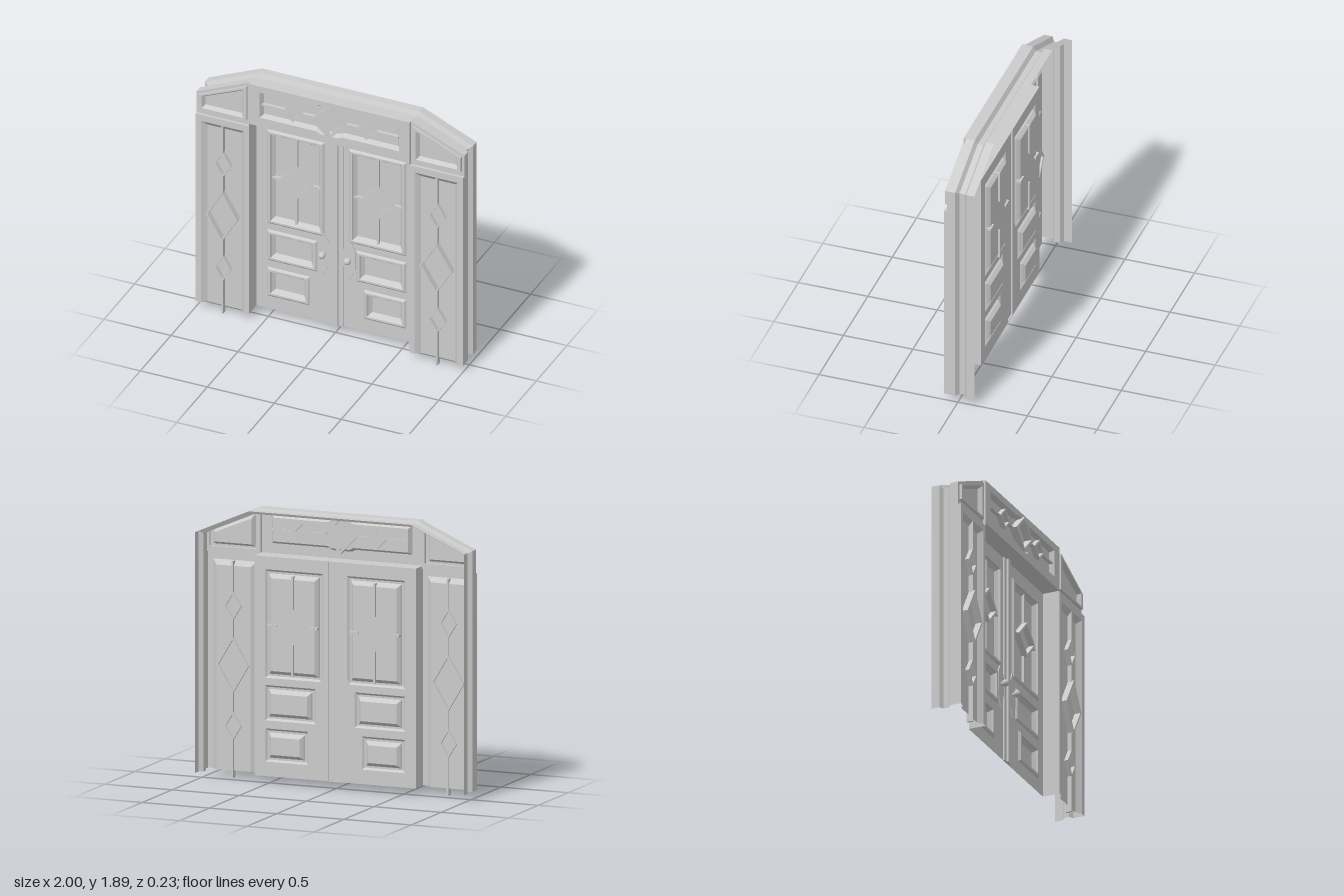
import * as THREE from 'three';

const mat = new THREE.MeshStandardMaterial({ color: 0xcccccc, side: THREE.DoubleSide });
const smooth = new THREE.MeshStandardMaterial({ color: 0xcccccc });

const FRONT = 0.1, RIM = 0.08, DOOR = -0.025, BASE = 0.05, HEAD = 1.57, SIDE_TOP = 1.55;

function add(group, geometry, name, x = 0, y = 0, z = 0, material = mat) {
  const mesh = new THREE.Mesh(geometry, material);
  mesh.name = name;
  mesh.position.set(x, y, z);
  group.add(mesh);
  return mesh;
}

const rect = (x0, y0, x1, y1) => [[x0, y0], [x1, y0], [x1, y1], [x0, y1]];
const toShape = (pts) => new THREE.Shape(pts.map((p) => new THREE.Vector2(...p)));

// Moves a counter-clockwise outline inwards by d with mitred corners.
function inset(pts, d, closed = true) {
  const n = pts.length;
  const normal = (i) => {
    const a = pts[(i + n) % n], b = pts[(i + 1) % n];
    const l = Math.hypot(b[0] - a[0], b[1] - a[1]);
    return [-(b[1] - a[1]) / l, (b[0] - a[0]) / l];
  };
  return pts.map(([x, y], i) => {
    const p = normal(!closed && i === 0 ? 0 : i - 1);
    const q = normal(!closed && i === n - 1 ? n - 2 : i);
    const k = d / (1 + p[0] * q[0] + p[1] * q[1]);
    return [x + (p[0] + q[0]) * k, y + (p[1] + q[1]) * k];
  });
}

// Sweeps a moulding profile of [inset, z] steps round an outline.
function moulding(pts, steps, closed = true) {
  const rings = steps.map(([d, z]) => inset(pts, d, closed).map(([x, y]) => [x, y, z]));
  const pos = [];
  const n = pts.length;
  for (let k = 0; k < rings.length - 1; k++) {
    for (let i = 0; i < (closed ? n : n - 1); i++) {
      const j = (i + 1) % n;
      const a = rings[k][i], b = rings[k][j], c = rings[k + 1][j], d = rings[k + 1][i];
      pos.push(...a, ...b, ...c, ...a, ...c, ...d);
    }
  }
  const g = new THREE.BufferGeometry();
  g.setAttribute('position', new THREE.Float32BufferAttribute(pos, 3));
  g.computeVertexNormals();
  return g;
}

// Flat sheet with openings.
function sheet(pts, holes = []) {
  const s = toShape(pts);
  holes.forEach((h) => s.holes.push(toShape(h)));
  return new THREE.ShapeGeometry(s);
}

// Moulded border plus the panel that closes it.
function panel(group, name, outline, steps, closed = true) {
  add(group, moulding(outline, steps, closed), name + 'Moulding');
  const [d, z] = steps[steps.length - 1];
  add(group, sheet(inset(outline, d, closed)), name, 0, 0, z);
}

function bar(group, x0, y0, x1, y1, z0, z1) {
  add(group, new THREE.BoxGeometry(x1 - x0, y1 - y0, z1 - z0), 'glazingBar',
    (x0 + x1) / 2, (y0 + y1) / 2, (z0 + z1) / 2);
}

function diamond(group, x, y, w, h, z0, z1, t = 0.013) {
  const pts = [[0, -h], [w, 0], [0, h], [-w, 0]];
  const s = toShape(pts);
  s.holes.push(toShape(inset(pts, t)));
  add(group, new THREE.ExtrudeGeometry(s, { depth: z1 - z0, bevelEnabled: false }),
    'diamondTracery', x, y, z0);
}

function makeDoor() {
  const g = new THREE.Group();
  const panels = [rect(0.09, 0.73, 0.52, 1.48), rect(0.145, 0.435, 0.52, 0.68), rect(0.2, 0.15, 0.52, 0.38)];
  add(g, sheet(rect(0.05, BASE, 0.6, HEAD), panels), 'doorLeaf', 0, 0, DOOR);
  panels.forEach((p, i) => panel(g, ['upperPanel', 'middlePanel', 'lowerPanel'][i], p,
    [[0, DOOR], [0.014, DOOR + 0.014], [0.028, DOOR + 0.014], [0.034, DOOR], [0.054, DOOR - 0.022]]));
  // Tracery over the upper panel
  const x = 0.305, y = 1.1, r = 0.13, z0 = -0.06, z1 = -0.026, t = 0.008;
  diamond(g, x, y, r, r, -0.047, -0.005, 0.016);
  bar(g, x - t, y + r - 0.01, x + t, 1.45, z0, z1);
  bar(g, x - t, 0.76, x + t, y - r + 0.01, z0, z1);
  bar(g, 0.118, y - t, x - r + 0.01, y + t, z0, z1);
  bar(g, x + r - 0.01, y - t, 0.492, y + t, z0, z1);
  // Knob on a pointed plate
  const plate = toShape([[0, -0.17], [0.045, -0.07], [0.045, 0.07], [0, 0.17], [-0.045, 0.07], [-0.045, -0.07]]);
  add(g, new THREE.ExtrudeGeometry(plate, { depth: 0.008, bevelEnabled: false }), 'knobPlate', 0.095, 0.6, DOOR);
  const stem = add(g, new THREE.CylinderGeometry(0.01, 0.012, 0.03, 16), 'knobStem', 0.095, 0.6, DOOR + 0.015, smooth);
  stem.rotation.x = Math.PI / 2;
  add(g, new THREE.SphereGeometry(0.025, 20, 14), 'doorKnob', 0.095, 0.6, DOOR + 0.04, smooth);
  return g;
}

function makeSidelight() {
  const g = new THREE.Group();
  // Front face is an arch round a recess that runs down to the floor
  const recess = [[0.96, BASE], [0.96, 1.5], [0.635, 1.5], [0.635, BASE]];
  const outer = [[1, BASE], [1, SIDE_TOP], [0.6, SIDE_TOP], [0.6, BASE]];
  add(g, sheet([...outer, ...[...recess].reverse()]), 'sidelightSurround', 0, 0, FRONT);
  add(g, moulding(outer, [[0, RIM], [0, FRONT]], false), 'sidelightEdge');
  panel(g, 'sidelightPanel', recess, [[0, FRONT], [0.035, 0.07]], false);
  // Diamonds strung on a vertical bar
  diamond(g, 0.8, 1.19, 0.065, 0.105, 0.055, FRONT);
  diamond(g, 0.8, 0.78, 0.12, 0.2, 0.055, 0.115);
  diamond(g, 0.8, 0.36, 0.065, 0.105, 0.055, FRONT);
  for (const [a, b] of [[1.285, 1.5], [0.97, 1.095], [0.455, 0.59], [0, 0.265]]) {
    bar(g, 0.794, a, 0.806, b, 0.055, FRONT);
  }
  return g;
}

function makeCorner() {
  const g = new THREE.Group();
  const block = inset([[0.6, HEAD], [1, HEAD], [1, 1.715], [0.6, 1.89]], 0.02);
  const opening = [[0.645, 1.605], [0.955, 1.605], [0.955, 1.7], [0.645, 1.83]];
  // Set-back rim, raised block, then the recessed panel
  add(g, sheet([[0.6, SIDE_TOP], [1, SIDE_TOP], [1, 1.715], [0.6, 1.89]], [block]), 'cornerRim', 0, 0, RIM);
  add(g, moulding(block, [[0, RIM], [0, FRONT]]), 'cornerBlockEdge');
  add(g, sheet(block, [opening]), 'cornerSurround', 0, 0, FRONT);
  panel(g, 'cornerPanel', opening, [[0, FRONT], [0.018, 0.07]]);
  return g;
}

function makeTransom() {
  const g = new THREE.Group();
  // Opening widens a little behind the central diamond
  const lower = [[-0.52, 1.64], [-0.1, 1.64], [-0.07, 1.625], [0.07, 1.625], [0.1, 1.64], [0.52, 1.64]];
  const opening = [...lower, ...lower.map(([x, y]) => [-x, 3.48 - y])];
  const outer = rect(-0.6, HEAD, 0.6, 1.89);
  add(g, sheet(outer, [opening]), 'transomSurround', 0, 0, FRONT);
  add(g, moulding(outer, [[0, RIM], [0, FRONT]]), 'transomEdge');
  panel(g, 'transomPanel', opening, [[0, FRONT], [0.018, 0.065]]);
  diamond(g, 0, 1.738, 0.13, 0.128, 0.055, 0.117, 0.016);
  for (const s of [-1, 1]) {
    diamond(g, s * 0.275, 1.74, 0.075, 0.075, 0.055, FRONT);
    for (const [a, b] of [[0.12, 0.21], [0.34, 0.51]]) {
      bar(g, Math.min(s * a, s * b), 1.734, Math.max(s * a, s * b), 1.746, 0.055, 0.09);
    }
  }
  return g;
}

export function createModel() {
  const model = new THREE.Group();
  model.name = 'doubleDoorEntrance';

  // Outer casing with a groove round its edge
  const outline = [[1, BASE], [1, 1.715], [0.6, 1.89], [-0.6, 1.89], [-1, 1.715], [-1, BASE]];
  add(model, moulding(outline,
    [[0, -0.118], [0, -0.06], [0.03, -0.042], [0.03, 0], [0, 0.02], [0, RIM]], false), 'outerCasing');

  // Reveal that sets the doors back
  const reveal = [[0.6, BASE], [0.6, HEAD], [-0.6, HEAD], [-0.6, BASE]];
  add(model, moulding(reveal, [[0, FRONT], [0, DOOR]], false), 'doorReveal');

  // Stepped strip where the doors meet
  for (const [w, z0, z1] of [[0.05, DOOR, DOOR + 0.012], [0.015, DOOR + 0.012, DOOR + 0.026]]) {
    panel(model, 'meetingStrip', rect(-w, BASE, w, HEAD), [[0, z0], [0, z1]]);
  }

  const transom = makeTransom();
  transom.name = 'transom';
  model.add(transom);

  const halves = { Door: makeDoor, Sidelight: makeSidelight, CornerBlock: makeCorner };
  for (const [name, make] of Object.entries(halves)) {
    for (const side of [1, -1]) {
      const part = make();
      part.name = (side > 0 ? 'left' : 'right') + name;
      part.scale.x = side;
      model.add(part);
    }
  }
  return model;
}
